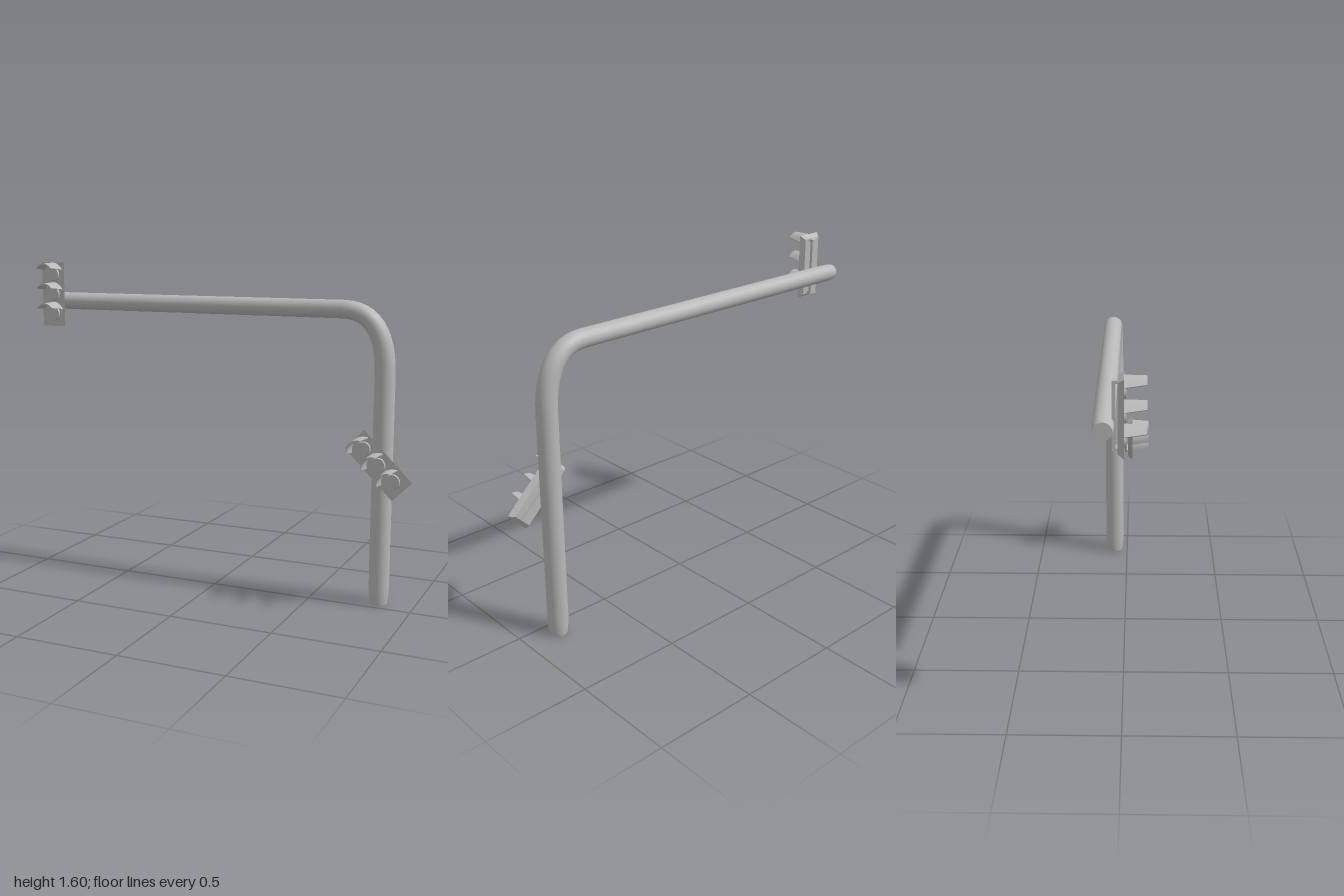
import * as THREE from 'three';

const metal = new THREE.MeshStandardMaterial({ color: 0xb8b8b8 });
metal.name = 'grey metal';

function add(parent, geometry, name, x = 0, y = 0, z = 0) {
  const mesh = new THREE.Mesh(geometry, metal);
  mesh.name = name;
  mesh.position.set(x, y, z);
  parent.add(mesh);
  return mesh;
}

// Builds a skin over rings of points; each ring is closed when wrap is true
function loft(rings, wrap) {
  const n = rings[0].length, index = [];
  for (let i = 0; i < rings.length - 1; i++) {
    for (let j = 0; j < (wrap ? n : n - 1); j++) {
      const a = i * n + j, b = i * n + (j + 1) % n;
      index.push(a, b, a + n, b, b + n, a + n);
    }
  }
  const geometry = new THREE.BufferGeometry().setFromPoints(rings.flat());
  geometry.setIndex(index);
  geometry.computeVertexNormals();
  return geometry;
}

// Bent pole: upright, soft elbow and long arm, slightly narrowed at both ends
function makePole() {
  const pole = new THREE.Group();
  pole.name = 'pole';
  const bend = new THREE.QuadraticBezierCurve(
    new THREE.Vector2(0.828, 1.1), new THREE.Vector2(0.828, 1.397), new THREE.Vector2(0.62, 1.397));
  const path = [[0.828, 0, 0.041], [0.828, 0.02, 0.044], [0.828, 0.07, 0.048]];
  for (let i = 0; i <= 12; i++) {
    const p = bend.getPoint(i / 12);
    path.push([p.x, p.y, 0.048 - 0.005 * i / 12]);
  }
  path.push([-0.9, 1.397, 0.043], [-0.97, 1.397, 0.041], [-1, 1.397, 0.037]);
  const sides = 24;
  const rings = path.map(([x, y, r], i) => {
    const a = path[Math.max(i - 1, 0)], b = path[Math.min(i + 1, path.length - 1)];
    const t = new THREE.Vector2(b[0] - a[0], b[1] - a[1]).normalize();
    return Array.from({ length: sides }, (_, j) => {
      const angle = -j / sides * Math.PI * 2;
      const c = Math.cos(angle) * r, s = Math.sin(angle) * Math.max(r, 0.045 * r / 0.043);
      return new THREE.Vector3(x + t.y * c, y - t.x * c, s);
    });
  });
  add(pole, loft(rings, true), 'poleTube', 0, 0, -0.072);
  const foot = add(pole, new THREE.CircleGeometry(0.041, sides), 'poleFoot', 0.828, 0, -0.072);
  foot.rotation.x = Math.PI / 2;
  const tip = add(pole, new THREE.CircleGeometry(0.038, sides), 'armEnd', -1, 1.397, -0.072);
  tip.rotation.y = -Math.PI / 2;
  return pole;
}

// Thin arched hood, its section swept from the housing to the narrower tip
function makeHood() {
  const section = (z, half, top, side, thick) => {
    const outer = [], inner = [];
    for (let i = 0; i <= 12; i++) {
      const u = i / 6 - 1;
      const y = top - (top - side) * u * u;
      outer.push(new THREE.Vector3(u * half, y, z));
      inner.push(new THREE.Vector3(u * (half - 0.002), y - thick * (1 - 0.6 * u * u), z));
    }
    return { outer, inner };
  };
  const back = section(0.005, 0.056, 0.05, 0.014, 0.008);
  const front = section(0.1, 0.044, 0.047, 0.024, 0.008);
  const hood = new THREE.Group();
  hood.name = 'hood';
  add(hood, loft([front.outer, back.outer], false), 'hoodTop');
  add(hood, loft([back.inner, front.inner], false), 'hoodUnderside');
  add(hood, loft([front.inner, front.outer], false), 'hoodLip');
  for (const k of [0, 12]) {
    const edge = [[back.outer[k], front.outer[k]], [back.inner[k], front.inner[k]]];
    add(hood, loft(k ? edge : edge.reverse(), false), 'hoodSide');
  }
  return hood;
}

// Signal head: bevelled housing, three lenses with hoods, bracket behind
function makeSignal(name) {
  const signal = new THREE.Group();
  signal.name = name;
  const housing = new THREE.BoxGeometry(0.13, 0.325, 0.025);
  const p = housing.attributes.position;
  for (let i = 0; i < p.count; i++) {
    if (p.getZ(i) < 0) {
      p.setX(i, p.getX(i) * 0.75);
      p.setY(i, p.getY(i) * 0.89);
    }
  }
  housing.computeVertexNormals();
  add(signal, housing, 'housing', 0, 0, -0.0025);
  for (const y of [0.112, 0.012, -0.088]) {
    const lens = add(signal, new THREE.CylinderGeometry(0.033, 0.036, 0.008, 24), 'lens', 0, y - 0.01, 0.014);
    lens.rotation.x = Math.PI / 2;
    const hood = makeHood();
    hood.position.y = y;
    signal.add(hood);
  }
  for (const y of [0.137, -0.137]) {
    add(signal, new THREE.BoxGeometry(0.04, 0.012, 0.026), 'bracketArm', 0, y, -0.025);
  }
  add(signal, new THREE.BoxGeometry(0.04, 0.286, 0.014), 'bracketBar', 0, 0, -0.031);
  return signal;
}

export function createModel() {
  const model = new THREE.Group();
  model.name = 'trafficLight';
  model.add(makePole());
  const upper = makeSignal('upperSignal');
  upper.position.set(-0.905, 1.433, 0);
  const lower = makeSignal('lowerSignal');
  lower.position.set(0.835, 0.695, 0.02);
  lower.rotation.z = Math.PI / 4;
  model.add(upper, lower);
  return model;
}
